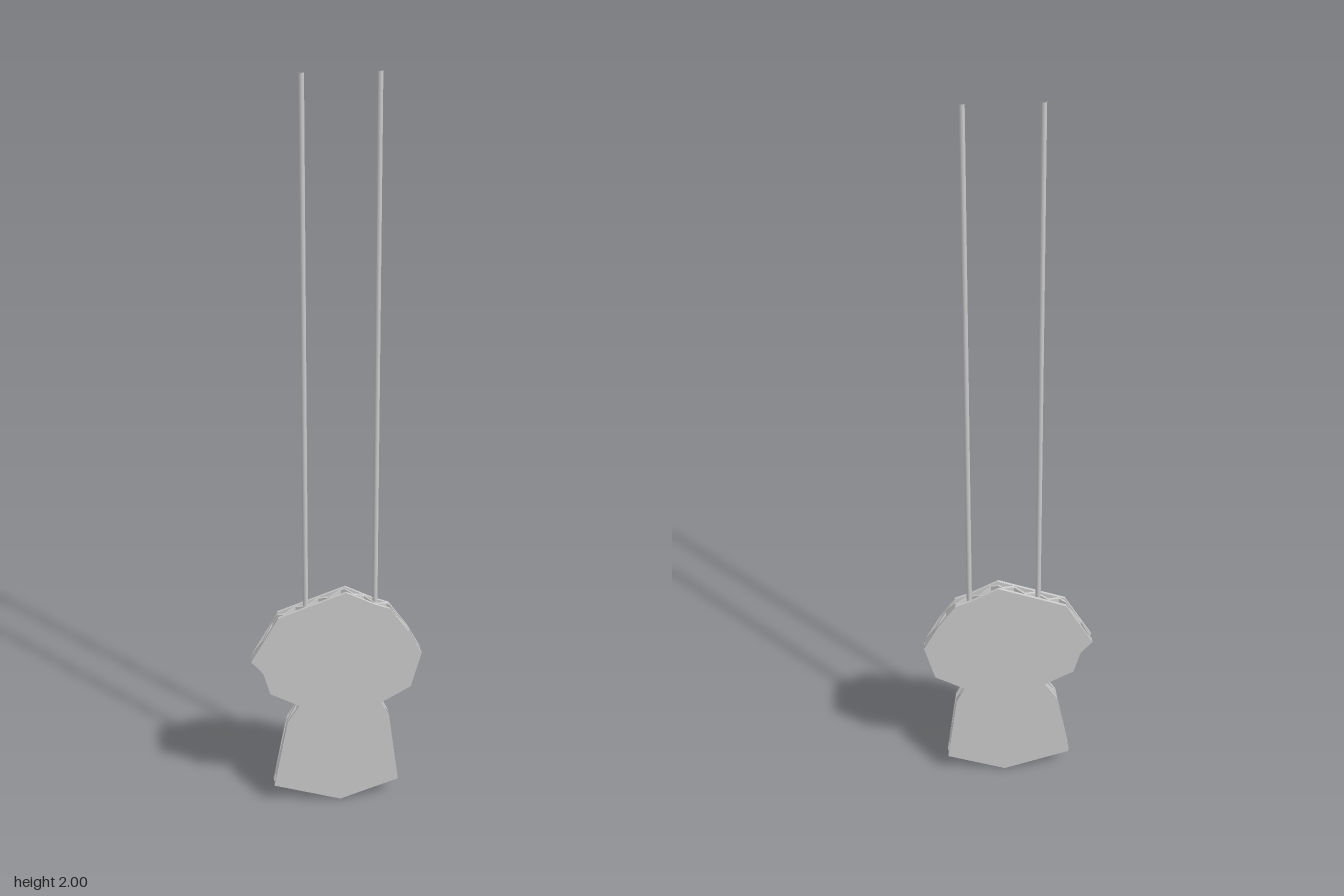
import * as THREE from 'three';
import { mergeGeometries } from 'three/addons/utils/BufferGeometryUtils.js';

// Outline of the hanging board, counter-clockwise from its lowest point
const OUTLINE = [
  [0.01, 0], [0.168, 0.056], [0.142, 0.257], [0.12, 0.305], [0.198, 0.35],
  [0.226, 0.452], [0.19, 0.52], [0.14, 0.592], [0.1, 0.607], [0.025, 0.646],
  [-0.08, 0.607], [-0.153, 0.58], [-0.226, 0.452], [-0.195, 0.415],
  [-0.177, 0.35], [-0.1, 0.308], [-0.132, 0.258], [-0.17, 0.056],
];
const OUTER = 0.0195, INNER = 0.0122; // z faces of the two liners
const HALF_PITCH = 0.03, WAVE = 0.0088, SHEET = 0.0068;

// Depth of the corrugated core's middle line at x
function waveZ(x) {
  const u = (x + 0.226) / HALF_PITCH;
  const t = u % 2;
  return WAVE * (t < 1 ? -1 + 2 * t : 3 - 2 * t);
}

// Box reshaped into a leaning sheet between two outline edges
function sheetPiece(a, b, low, high) {
  const geo = new THREE.BoxGeometry(1, 1, 1);
  const p = geo.attributes.position;
  for (let i = 0; i < p.count; i++) {
    const x = p.getX(i) < 0 ? a : b;
    const y = (p.getY(i) < 0 ? low : high)(x);
    p.setXYZ(i, x, y, waveZ(x) + p.getZ(i) * SHEET);
  }
  geo.computeVertexNormals();
  return geo;
}

// Zigzag core running the full height, cut to the outline
function coreGeometry() {
  const edges = OUTLINE.map((p, i) => {
    const q = OUTLINE[(i + 1) % OUTLINE.length];
    const [l, r] = p[0] < q[0] ? [p, q] : [q, p];
    return { l: l[0], r: r[0], y: x => l[1] + (r[1] - l[1]) * (x - l[0]) / (r[0] - l[0]) };
  });
  const cuts = OUTLINE.map(p => p[0]);
  for (let x = -0.226; x < 0.226; x += HALF_PITCH) cuts.push(x);
  cuts.sort((a, b) => a - b);
  const pieces = [];
  for (let i = 0; i + 1 < cuts.length; i++) {
    const a = cuts[i], b = cuts[i + 1], mid = (a + b) / 2;
    if (b - a < 1e-5) continue;
    const hits = edges.filter(e => e.l < mid && e.r > mid).sort((e, f) => e.y(mid) - f.y(mid));
    for (let k = 0; k + 1 < hits.length; k += 2) {
      pieces.push(sheetPiece(a, b, hits[k].y, hits[k + 1].y));
    }
  }
  return mergeGeometries(pieces);
}

export function createModel() {
  const model = new THREE.Group();
  const material = new THREE.MeshStandardMaterial({ color: 0xcccccc });
  const add = (name, geometry) => {
    const mesh = new THREE.Mesh(geometry, material);
    mesh.name = name;
    model.add(mesh);
    return mesh;
  };

  // Front and back liners
  const shape = new THREE.Shape(OUTLINE.map(p => new THREE.Vector2(...p)));
  const liner = new THREE.ExtrudeGeometry(shape, { depth: OUTER - INNER, bevelEnabled: false });
  add('frontLiner', liner).position.z = INNER;
  add('backLiner', liner).position.z = -OUTER;

  // Corrugated core
  add('corrugatedCore', coreGeometry());

  // Two open hanging rods
  const bottom = 0.59;
  const rod = new THREE.CylinderGeometry(0.0068, 0.0068, 2 - bottom, 12, 1, true);
  for (const [name, x] of [['rightRod', -0.08], ['leftRod', 0.102]]) {
    add(name, rod).position.set(x, (2 + bottom) / 2, 0);
  }
  return model;
}
